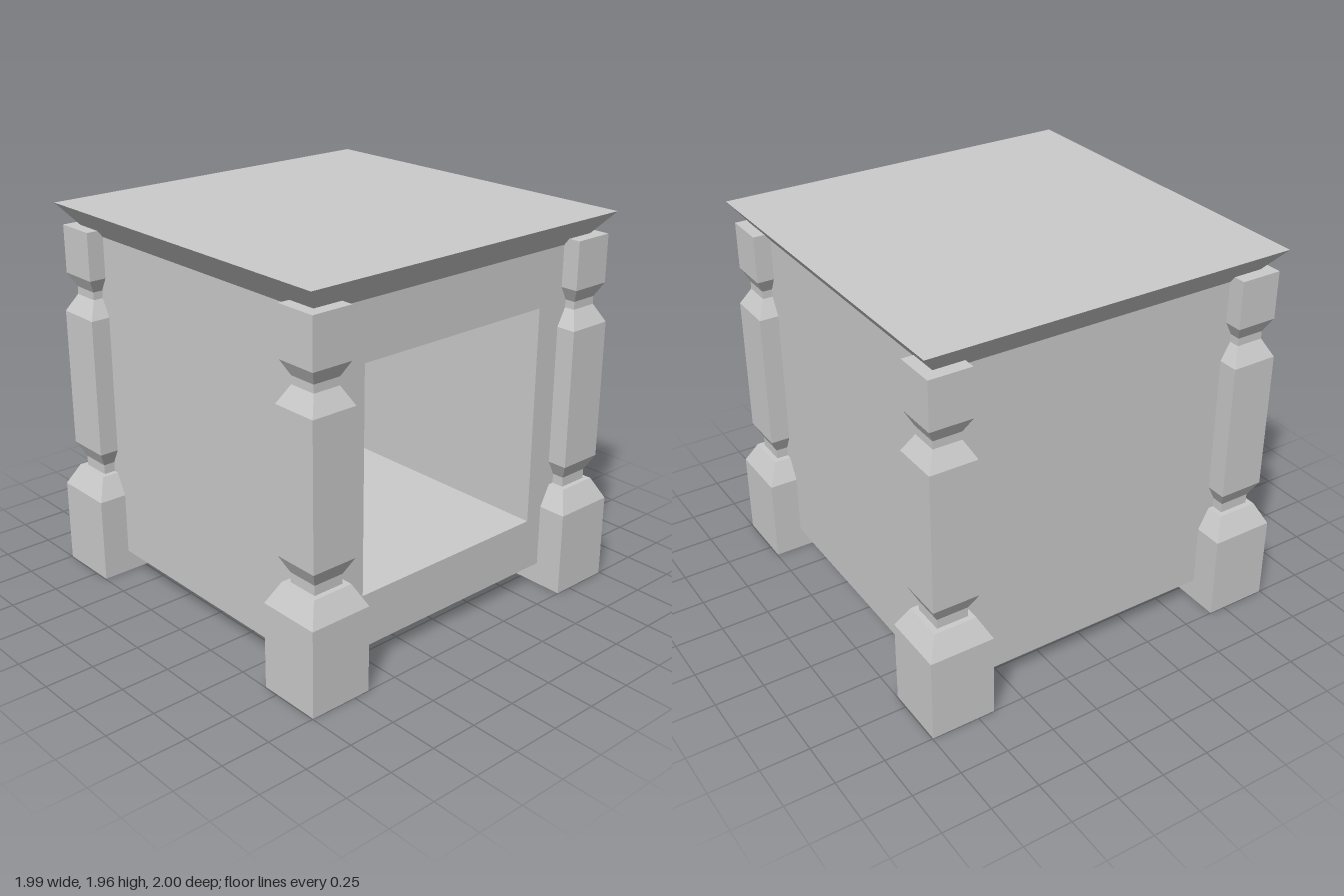
import * as THREE from 'three';

const BODY = { half: 0.85, bottom: 0.115, top: 1.81 };
const NICHE = { half: 0.567, bottom: 0.39, top: 1.525, back: -0.39 };

const grey = new THREE.MeshStandardMaterial({ color: 0xcccccc, flatShading: true });
const greyInside = new THREE.MeshStandardMaterial({ color: 0xcccccc, flatShading: true, side: THREE.BackSide });

function part(name, geometry, material = grey) {
  const mesh = new THREE.Mesh(geometry, material);
  mesh.name = name;
  return mesh;
}

// Square turned piece from [halfWidth, y] pairs, bottom to top
function squareTurned(profile) {
  const points = profile.map(([half, y]) => new THREE.Vector2(half * Math.SQRT2, y));
  const geometry = new THREE.LatheGeometry(points, 4, Math.PI / 4).toNonIndexed();
  geometry.computeVertexNormals();
  return geometry;
}

// Box between two corners, open at the front
function openBox(half, y0, y1, z0, z1) {
  const geometry = new THREE.BoxGeometry(2 * half, y1 - y0, z1 - z0);
  const index = Array.from(geometry.index.array);
  index.splice(24, 6); // front face
  geometry.setIndex(index);
  geometry.clearGroups();
  return geometry.translate(0, (y0 + y1) / 2, (z0 + z1) / 2);
}

function rectangle(target, half, y0, y1) {
  target.moveTo(-half, y0);
  target.lineTo(half, y0);
  target.lineTo(half, y1);
  target.lineTo(-half, y1);
  target.closePath();
  return target;
}

export function createModel() {
  const model = new THREE.Group();
  model.name = 'nightstand';

  // Cabinet: outer case, front frame and the open niche
  const front = rectangle(new THREE.Shape(), BODY.half, BODY.bottom, BODY.top);
  front.holes.push(rectangle(new THREE.Path(), NICHE.half, NICHE.bottom, NICHE.top));
  model.add(
    part('case', openBox(BODY.half, BODY.bottom, BODY.top, -BODY.half, BODY.half)),
    part('frontFrame', new THREE.ShapeGeometry(front).translate(0, 0, BODY.half)),
    part('niche', openBox(NICHE.half, NICHE.bottom, NICHE.top, NICHE.back, BODY.half), greyInside)
  );

  // Top with bevelled underside
  model.add(part('top', squareTurned([[0, 1.81], [0.85, 1.81], [0.965, 1.955], [0, 1.955]])));

  // Four square turned corner posts
  const post = squareTurned([
    [0, 0], [0.166, 0], [0.166, 0.44], [0.109, 0.55], [0.081, 0.55], [0.081, 0.6],
    [0.121, 0.68], [0.121, 1.4], [0.072, 1.49], [0.072, 1.53], [0.108, 1.6],
    [0.108, 1.845], [0, 1.845]
  ]);
  for (const [side, x] of [['Left', 0.83], ['Right', -0.83]]) {
    for (const [end, z] of [['front', 0.833], ['back', -0.833]]) {
      const leg = part(`${end}${side}Post`, post);
      leg.position.set(x, 0, z);
      model.add(leg);
    }
  }
  return model;
}
